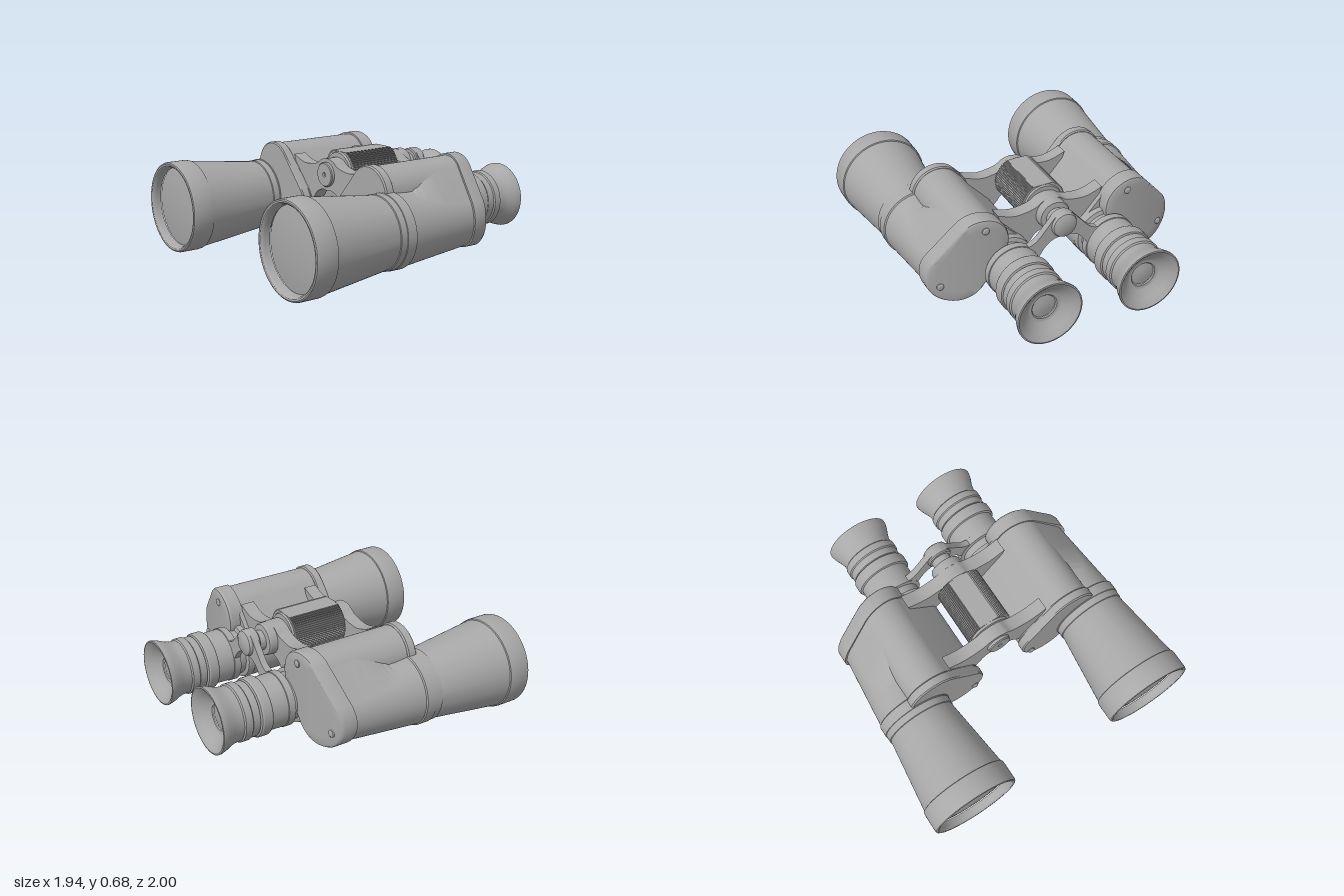
import * as THREE from 'three';
import { toCreasedNormals } from 'three/addons/utils/BufferGeometryUtils.js';

const V2 = (x, y) => new THREE.Vector2(x, y);
const lerp = THREE.MathUtils.lerp;

// Lathe around z: profile of [radius, z], ending nearest the front
function turned(profile, segments = 64) {
  return new THREE.LatheGeometry(profile.map(([r, z]) => V2(r, z)), segments).rotateX(Math.PI / 2);
}

// Convex outline wrapped around circles [x, y, r]
function wrap(circles, n = 96) {
  const out = [];
  for (let i = 0; i < n; i++) {
    const a = (i / n) * Math.PI * 2, c = Math.cos(a), s = Math.sin(a);
    const reach = (k) => k[0] * c + k[1] * s + k[2];
    const best = circles.reduce((p, q) => (reach(q) > reach(p) ? q : p));
    out.push([best[0] + best[2] * c, best[1] + best[2] * s]);
  }
  return out;
}

// Shrinks an outline about its middle
function shrink(outline, k) {
  const cx = outline.reduce((t, p) => t + p[0], 0) / outline.length;
  const cy = outline.reduce((t, p) => t + p[1], 0) / outline.length;
  return outline.map(([x, y]) => [cx + (x - cx) * k, cy + (y - cy) * k]);
}

// Skin through rings ordered back to front; each ring is [outline, z or z(x)]
function loft(rings) {
  const pos = [], idx = [], n = rings[0][0].length;
  for (const [outline, z] of rings)
    for (const [x, y] of outline) pos.push(x, y, typeof z === 'function' ? z(x) : z);
  for (let i = 0; i < rings.length - 1; i++)
    for (let j = 0; j < n; j++) {
      const a = i * n + j, b = i * n + ((j + 1) % n);
      idx.push(a, b, b + n, a, b + n, a + n);
    }
  const g = new THREE.BufferGeometry();
  g.setAttribute('position', new THREE.Float32BufferAttribute(pos, 3));
  g.setIndex(idx);
  return g;
}

// Flat slab with a slight bevel on both edges
function slab(outline, z0, z1, b = 0.008) {
  const inner = shrink(outline, 0.97);
  return loft([[shrink(outline, 0), z0], [inner, z0], [outline, z0 + b],
    [outline, z1 - b], [inner, z1], [shrink(outline, 0), z1]]);
}

// Symmetric bridge from upper and lower edge curves, centre outwards
function bridge(top, bottom, z0, z1) {
  const sample = (pts) => new THREE.SplineCurve(pts.map(([x, y]) => V2(x, y))).getPoints(20);
  const half = [...sample(top), ...sample(bottom).reverse()];
  const other = half.slice(1, -1).reverse().map((p) => V2(-p.x, p.y));
  return new THREE.ExtrudeGeometry(new THREE.Shape([...half, ...other]),
    { depth: z1 - z0, bevelEnabled: false }).translate(0, 0, z0);
}

export function createModel() {
  const model = new THREE.Group();
  const grey = new THREE.MeshStandardMaterial({ color: 0xa8a8a8 });
  grey.name = 'grey';
  function add(parent, name, geometry, x = 0, y = 0) {
    const mesh = new THREE.Mesh(toCreasedNormals(geometry, 0.5), grey);
    mesh.name = name;
    mesh.position.set(x, y, 0);
    parent.add(mesh);
  }

  // Rear cover is bowed towards the front on its outer side
  const bow = (z) => (x) => z + 0.09 * Math.pow(Math.max(0, (Math.abs(x) - 0.42) / 0.46), 1.7);

  for (const s of [1, -1]) {
    const side = new THREE.Group();
    side.name = s > 0 ? 'leftHalf' : 'rightHalf';
    model.add(side);

    // Objective barrel with collar, rim and recessed lens
    add(side, 'objectiveBarrel', turned([
      [0, 0.225], [0.232, 0.225], [0.241, 0.232], [0.241, 0.3], [0.237, 0.302], [0.237, 0.347], [0.231, 0.35],
      [0.291, 0.848], [0.298, 0.852], [0.3, 0.87], [0.3, 0.985], [0.296, 0.996], [0.288, 1],
      [0.278, 0.998], [0.268, 0.988], [0.264, 0.975], [0.26, 0.94],
    ], 80), s * 0.67, 0.305);
    add(side, 'objectiveLens', turned([
      [0.262, 0.935], [0.2, 0.945], [0.1, 0.953], [0, 0.956],
    ], 80), s * 0.67, 0.305);

    // Prism housing: inner lobe, and outer part narrowing into the barrel
    add(side, 'innerHousing', slab(wrap([[s * 0.52, 0.51, 0.167], [s * 0.335, 0.3, 0.172]]), -0.385, 0.26));
    const rings = [];
    for (let i = 0; i <= 14; i++) {
      const t = i / 14, e = THREE.MathUtils.smoothstep(t, 0.25, 1);
      const outline = wrap([
        [s * 0.67, 0.305, lerp(0.186, 0.234, t)],
        [s * lerp(0.52, 0.67, e), lerp(0.51, 0.305, e), 0.167],
      ]);
      rings.push([outline, i === 0 ? bow(-0.41) : lerp(-0.3, 0.24, t)]);
    }
    add(side, 'outerHousing', loft(rings));
    add(side, 'frontCover', slab(wrap([[s * 0.52, 0.51, 0.178], [s * 0.338, 0.3, 0.182]]), 0.23, 0.295));

    // Bowed rear cover
    const rear = wrap([[s * 0.52, 0.51, 0.179], [s * 0.68, 0.31, 0.196]]);
    const cap = (z, list) => list.map((k) => [shrink(rear, k), bow(z)]);
    add(side, 'rearCover', loft([
      ...cap(-0.462, [0, 0.25, 0.5, 0.75, 0.93]), ...cap(-0.456, [0.975]), ...cap(-0.443, [1]),
      ...cap(-0.358, [1, 0.75, 0.5, 0.25, 0]),
    ]));

    // Cover screws
    const screw = (z, d) => turned(d > 0
      ? [[0.024, z - 0.02], [0.024, z + 0.006], [0.016, z + 0.013], [0, z + 0.016]]
      : [[0, z - 0.016], [0.016, z - 0.013], [0.024, z - 0.006], [0.024, z + 0.02]], 20);
    add(side, 'frontScrew', screw(0.295, 1), s * 0.225, 0.21);
    add(side, 'rearScrewUpper', screw(bow(-0.46)(0.5), -1), s * 0.5, 0.61);
    add(side, 'rearScrewLower', screw(bow(-0.46)(0.79), -1), s * 0.79, 0.25);

    // Eyepiece with stepped rings and flared cup
    add(side, 'eyepiece', turned([
      [0.078, -0.915], [0.085, -0.922], [0.1, -0.922], [0.112, -0.926], [0.16, -0.965], [0.195, -0.993],
      [0.207, -1], [0.216, -0.998], [0.216, -0.985], [0.205, -0.95], [0.188, -0.91], [0.178, -0.875], [0.177, -0.84],
      [0.186, -0.832], [0.186, -0.785], [0.178, -0.778], [0.178, -0.73], [0.168, -0.725],
      [0.185, -0.72], [0.191, -0.71], [0.191, -0.655], [0.185, -0.645], [0.172, -0.64],
      [0.174, -0.53], [0.179, -0.528], [0.179, -0.482], [0.152, -0.478], [0.152, -0.43],
      [0.178, -0.422], [0.182, -0.41], [0.182, -0.36], [0, -0.36],
    ]), s * 0.345, 0.305);
    add(side, 'eyepieceLens', turned([
      [0, -0.922], [0.04, -0.919], [0.079, -0.912],
    ], 40), s * 0.345, 0.305);
  }

  // Hinge bridges joining the halves
  const top = [[0, 0.645], [0.06, 0.632], [0.12, 0.597], [0.25, 0.582], [0.37, 0.62]];
  const bottom = [[0, 0.43], [0.05, 0.434], [0.11, 0.41], [0.155, 0.36], [0.25, 0.3]];
  add(model, 'frontBridge', bridge(top, bottom, 0.135, 0.222));
  add(model, 'rearBridge', bridge(top, bottom, -0.358, -0.265));

  // Hinge axle, front disc with centre dimple, and rear collar
  add(model, 'hingeAxle', turned([
    [0, -0.5], [0.065, -0.5], [0.065, -0.42], [0.1, -0.415], [0.106, -0.405], [0.106, -0.355],
    [0.045, -0.35], [0.045, 0.2], [0.08, 0.2], [0.08, 0.24], [0.074, 0.246],
    [0.016, 0.246], [0.012, 0.236], [0, 0.236],
  ], 48), 0, 0.54);

  // Focus wheel: ridged round sides, flat above and below
  const outline = [];
  for (let i = 0; i < 288; i++) {
    const a = (i / 288) * Math.PI * 2, r = i % 4 < 2 ? 0.158 : 0.149;
    outline.push(V2(r * Math.cos(a), THREE.MathUtils.clamp(r * Math.sin(a), -0.137, 0.137)));
  }
  add(model, 'focusWheel', new THREE.ExtrudeGeometry(new THREE.Shape(outline),
    { depth: 0.37, bevelEnabled: false }).translate(0, 0, -0.25), 0, 0.543);
  add(model, 'focusWheelEnds', turned([
    [0, -0.262], [0.13, -0.262], [0.136, -0.25], [0.136, 0.122], [0.13, 0.134], [0, 0.134],
  ]), 0, 0.543);

  // Bridge carrying both eyepieces, with its end knob
  add(model, 'eyepieceBridge', bridge(
    [[0, 0.632], [0.06, 0.615], [0.12, 0.55], [0.2, 0.468], [0.3, 0.44]],
    [[0, 0.46], [0.06, 0.46], [0.12, 0.425], [0.17, 0.36], [0.21, 0.3]], -0.528, -0.485));
  add(model, 'endKnob', turned([
    [0, -0.562], [0.055, -0.56], [0.08, -0.548], [0.086, -0.535], [0.086, -0.475], [0.078, -0.468], [0, -0.468],
  ], 40), 0, 0.55);

  return model;
}
